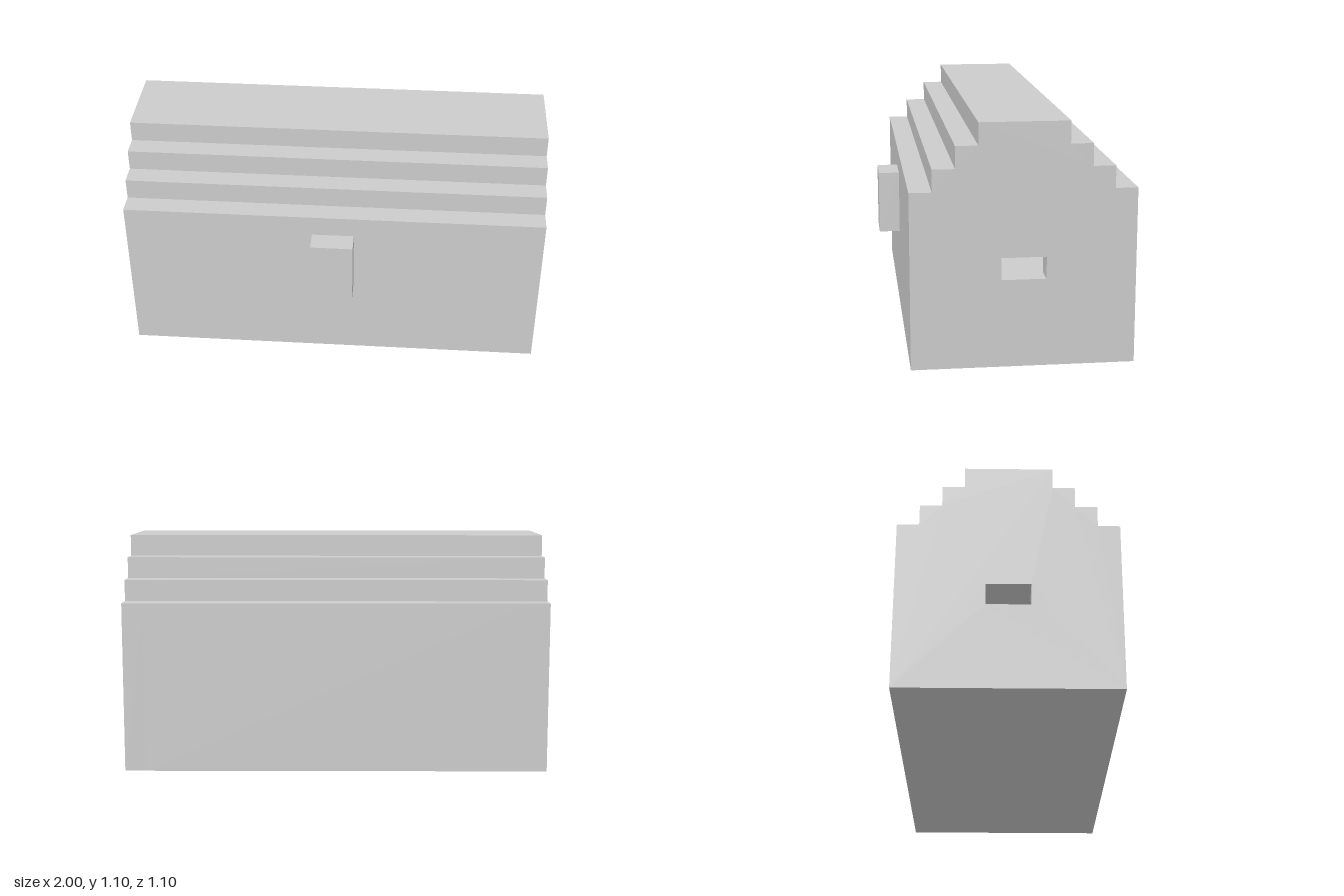
import * as THREE from 'three';

const material = new THREE.MeshStandardMaterial({ color: 0xcccccc, flatShading: true });

// Stepped outline from [halfWidth, topHeight] tiers, mirrored about the centre
function steppedOutline(base, tiers) {
  const right = [];
  let y = base;
  for (const [half, top] of tiers) {
    right.push(new THREE.Vector2(half, y), new THREE.Vector2(half, top));
    y = top;
  }
  const left = right.map((p) => new THREE.Vector2(-p.x, p.y)).reverse();
  return [...right, ...left];
}

// Extrude a cross-section along x, centred on the given x
function slab(name, outline, hole, length, x) {
  const shape = new THREE.Shape(outline);
  shape.holes.push(new THREE.Path(hole));
  const geometry = new THREE.ExtrudeGeometry(shape, { depth: length, bevelEnabled: false });
  geometry.translate(0, 0, -length / 2).rotateY(Math.PI / 2);
  const mesh = new THREE.Mesh(geometry, material);
  mesh.name = name;
  mesh.position.set(x, 0, -0.05);
  return mesh;
}

export function createModel() {
  const model = new THREE.Group();
  model.name = 'steppedChest';

  const outer = steppedOutline(0, [[0.5, 0.8], [0.4, 0.9], [0.3, 1.0], [0.2, 1.1]]);
  const cavity = steppedOutline(0.1, [[0.4, 0.8], [0.3, 0.9], [0.2, 1.0]]);
  const slot = steppedOutline(0.4, [[0.1, 0.5]]);

  // Hollow body with stepped lid, closed by slotted end walls
  model.add(slab('body', outer, cavity, 1.8, 0));
  for (const side of [-1, 1]) {
    model.add(slab(side > 0 ? 'leftEndWall' : 'rightEndWall', outer, slot, 0.1, side * 0.95));
  }

  // Latch block on the front
  const latch = new THREE.Mesh(new THREE.BoxGeometry(0.2, 0.3, 0.1), material);
  latch.name = 'latch';
  latch.position.set(0, 0.55, 0.5);
  model.add(latch);

  return model;
}
